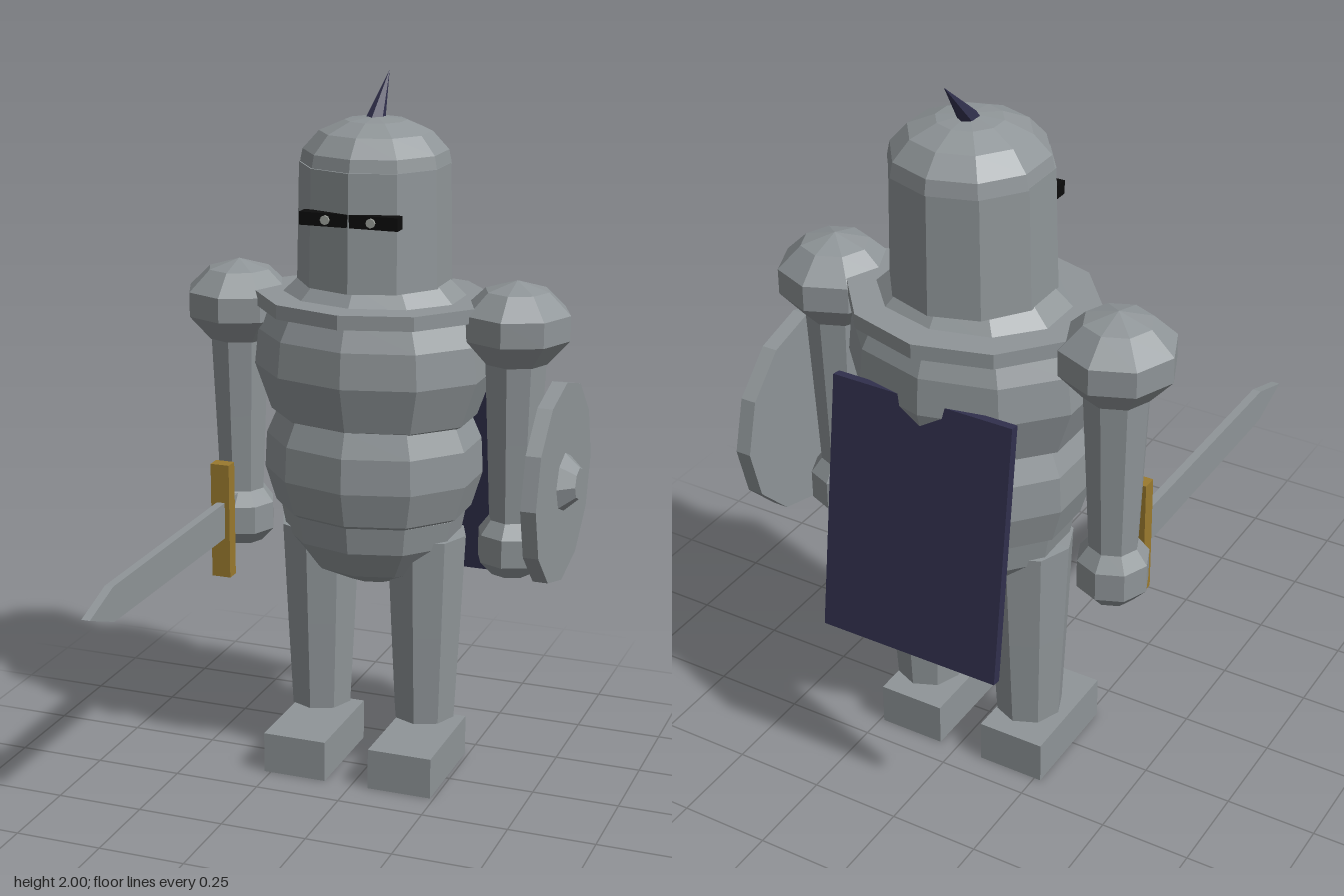
import * as THREE from 'three';

const material = (name, color) => {
  const m = new THREE.MeshStandardMaterial({ color });
  m.name = name;
  return m;
};

export function createModel() {
  const steel = material('steel', 0x8f9598);
  const cloth = material('navyCloth', 0x31304d);
  const gold = material('gold', 0x9a7a2e);
  const black = material('black', 0x0c0c0c);
  const pale = material('paleGrey', 0x9ea29c);

  const knight = new THREE.Group();
  knight.name = 'knight';
  const CX = -0.015, CZ = -0.325; // body axis

  // Adds a faceted mesh
  function add(name, geometry, mat, x, y, z) {
    const flat = geometry.index ? geometry.toNonIndexed() : geometry;
    flat.computeVertexNormals();
    const mesh = new THREE.Mesh(flat, mat);
    mesh.name = name;
    mesh.position.set(x, y, z);
    knight.add(mesh);
    return mesh;
  }
  const box = (name, mat, w, h, d, x, y, z) =>
    add(name, new THREE.BoxGeometry(w, h, d), mat, x, y, z);

  // Turned part from [radius, height] pairs, bottom to top
  function turned(name, profile, sides, x, z, sx = 1, sz = 1) {
    const points = profile.map(([r, y]) => new THREE.Vector2(r, y));
    const geometry = new THREE.LatheGeometry(points, sides);
    geometry.scale(sx, 1, sz);
    return add(name, geometry, steel, x, 0, z);
  }

  // Torso: hips, belly, chest and collar
  turned('hips', [[0, 0.565], [0.08, 0.57], [0.18, 0.615], [0.245, 0.7], [0.26, 0.78], [0.2, 0.84], [0, 0.86]],
    10, CX, CZ, 1.03, 0.86);
  turned('belly', [[0, 0.74], [0.2, 0.745], [0.275, 0.79], [0.305, 0.89], [0.3, 0.99], [0.27, 1.06], [0.18, 1.11], [0, 1.12]],
    10, CX, CZ, 1.03, 0.87);
  turned('chest', [[0, 1.0], [0.2, 1.01], [0.285, 1.06], [0.33, 1.19], [0.32, 1.29], [0.28, 1.37], [0.2, 1.45], [0, 1.46]],
    10, CX, CZ, 1.04, 0.83);
  turned('collar', [[0, 1.36], [0.29, 1.36], [0.29, 1.4], [0, 1.4]], 10, CX, CZ, 1.16, 1.01);

  // Helmet with dome, visor slit and leaning spike
  turned('helmet', [[0, 1.43], [0.215, 1.44], [0.208, 1.765], [0, 1.77]], 10, CX, CZ);
  turned('helmetDome', [[0.208, 1.76], [0.2, 1.8], [0.155, 1.85], [0.085, 1.88], [0, 1.89]], 10, CX, CZ - 0.005);
  box('visorSlit', black, 0.28, 0.036, 0.038, CX, 1.638, -0.134);
  for (const x of [-0.08, 0.05]) {
    const eye = new THREE.CylinderGeometry(0.013, 0.013, 0.008, 8).rotateX(Math.PI / 2);
    add('eye', eye, pale, x, 1.638, -0.112);
  }
  const base = new THREE.Vector3(CX - 0.003, 1.865, -0.325);
  const tip = new THREE.Vector3(CX - 0.003, 2.0, -0.447);
  const axis = tip.clone().sub(base);
  const spike = add('helmetSpike', new THREE.ConeGeometry(0.03, axis.length(), 6), cloth,
    ...base.clone().lerp(tip, 0.5).toArray());
  spike.quaternion.setFromUnitVectors(new THREE.Vector3(0, 1, 0), axis.normalize());

  // Arms and legs, mirrored about the body axis
  for (const [side, s] of [['left', 1], ['right', -1]]) {
    const ax = CX + s * 0.41;
    turned(side + 'Shoulder', [[0, 1.23], [0.09, 1.24], [0.152, 1.31], [0.152, 1.38], [0.09, 1.44], [0, 1.467]],
      8, ax, -0.33);
    turned(side + 'Arm', [[0, 0.76], [0.066, 0.77], [0.077, 1.02], [0.088, 1.26], [0, 1.27]], 8, ax, -0.33);
    turned(side + 'Hand', [[0, 0.62], [0.06, 0.63], [0.097, 0.67], [0.097, 0.75], [0.06, 0.8], [0, 0.81]],
      8, ax, -0.33);

    const lx = CX + s * 0.16;
    turned(side + 'Leg', [[0, 0.16], [0.09, 0.162], [0.104, 0.43], [0.118, 0.72], [0, 0.73]],
      8, lx, CZ, 1, 1.04);
    box(side + 'Foot', steel, 0.188, 0.12, 0.325, lx, 0.06, -0.268);
  }

  // Sword held forward in the right hand
  const bladeShape = new THREE.Shape();
  bladeShape.moveTo(-0.32, 0.68);
  bladeShape.lineTo(-0.1, 0.68);
  bladeShape.lineTo(0.54, 0.683);
  bladeShape.lineTo(0.675, 0.735);
  bladeShape.lineTo(0.54, 0.78);
  bladeShape.lineTo(-0.32, 0.787);
  const blade = new THREE.ExtrudeGeometry(bladeShape, { depth: 0.024, bevelEnabled: false });
  blade.translate(0, 0, -0.012).rotateY(-Math.PI / 2);
  add('swordBlade', blade, steel, -0.423, 0, 0);
  box('swordGuard', gold, 0.056, 0.338, 0.04, -0.425, 0.73, -0.19);

  // Round shield with boss, outside the left arm
  const disc = new THREE.CylinderGeometry(0.285, 0.285, 0.043, 12).rotateZ(-Math.PI / 2);
  add('shield', disc, steel, 0.522, 0.91, -0.327);
  const boss = new THREE.CylinderGeometry(0.045, 0.086, 0.045, 8).rotateZ(-Math.PI / 2);
  add('shieldBoss', boss, steel, 0.5635, 0.912, -0.327);

  // Cape plate slanting away from the back
  const cape = box('cape', cloth, 0.517, 0.72, 0.026, CX, 0.862, -0.615);
  cape.rotation.x = 0.137;

  return knight;
}
